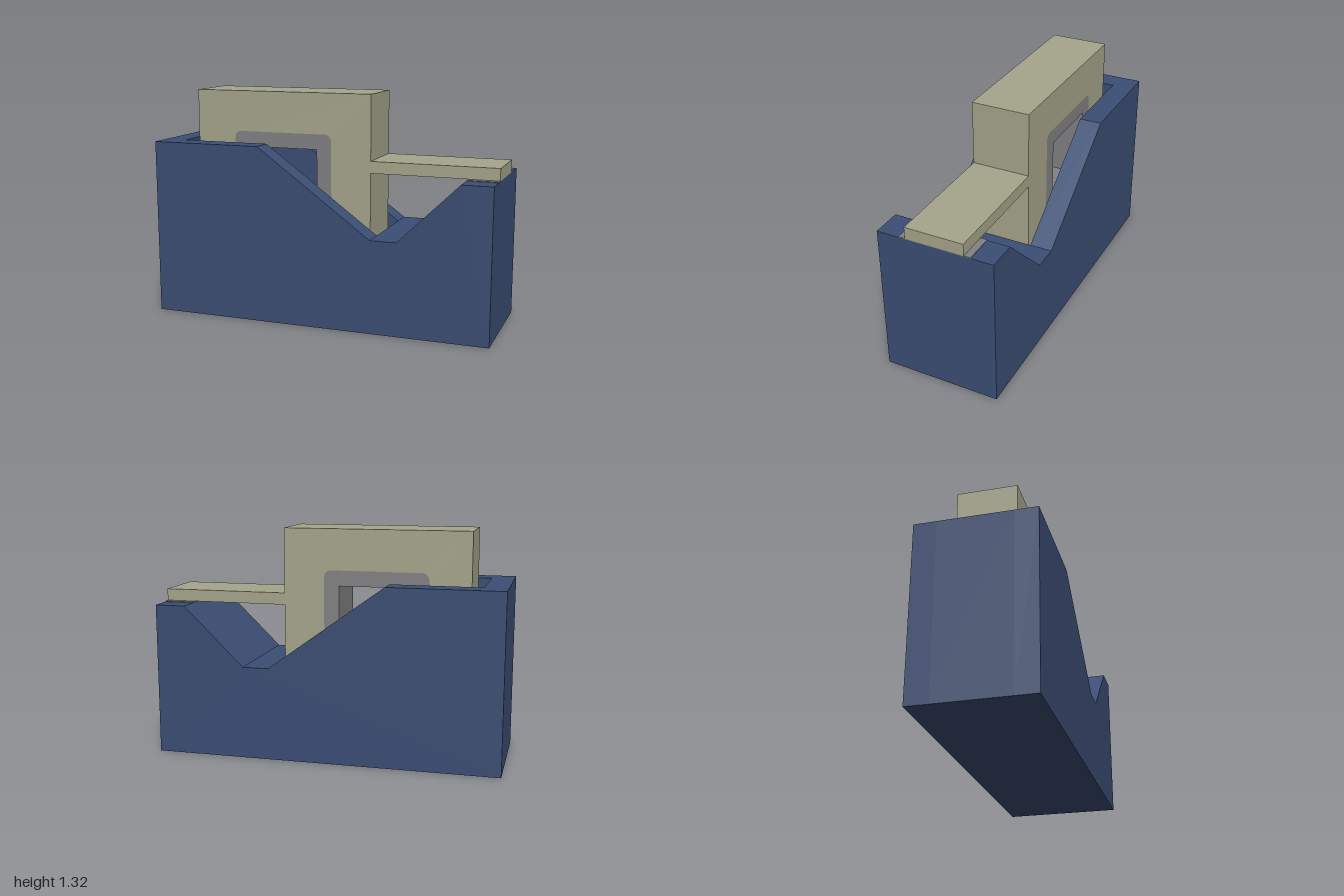
import * as THREE from 'three';

const paint = (name, color) => {
  const m = new THREE.MeshStandardMaterial({ color });
  m.name = name;
  return m;
};

// Square outline with rounded corners, centred on (cx, cy)
function roundedSquare(path, cx, cy, h, r) {
  path.moveTo(cx - h + r, cy - h);
  path.lineTo(cx + h - r, cy - h);
  path.absarc(cx + h - r, cy - h + r, r, -Math.PI / 2, 0);
  path.lineTo(cx + h, cy + h - r);
  path.absarc(cx + h - r, cy + h - r, r, 0, Math.PI / 2);
  path.lineTo(cx - h + r, cy + h);
  path.absarc(cx - h + r, cy + h - r, r, Math.PI / 2, Math.PI);
  path.lineTo(cx - h, cy - h + r);
  path.absarc(cx - h + r, cy - h + r, r, Math.PI, Math.PI * 1.5);
  return path;
}

const polygon = (pts) => new THREE.Shape(pts.map(([x, y]) => new THREE.Vector2(x, y)));
const square = (cx, cy, h) =>
  [[cx - h, cy - h], [cx + h, cy - h], [cx + h, cy + h], [cx - h, cy + h]];

export function createModel() {
  const group = new THREE.Group();
  const blue = paint('navy body', 0x3b4e74);
  const tan = paint('tan tape', 0xa6a68c);
  const grey = paint('grey core', 0x828284);

  const add = (name, geometry, material) => {
    const mesh = new THREE.Mesh(geometry, material);
    mesh.name = name;
    group.add(mesh);
    return mesh;
  };
  // Side profile extruded from z0 to z1
  const slab = (name, shape, z0, z1, material) => {
    const g = new THREE.ExtrudeGeometry(shape, { depth: z1 - z0, bevelEnabled: false, curveSegments: 6 });
    return add(name, g.translate(0, 0, z0), material);
  };
  const box = (name, x0, x1, y0, y1, halfZ, material) =>
    add(name, new THREE.BoxGeometry(x1 - x0, y1 - y0, halfZ * 2)
      .translate((x0 + x1) / 2, (y0 + y1) / 2, 0), material);

  // Body: two side walls around a core with an open slot
  const slotZ = 0.208, bodyZ = 0.337;
  const rightEnd = [[1, 0], [1, 0.875], [0.825, 0.875], [0.475, 0.535], [0.325, 0.535]];
  const wall = polygon([[-1, 0], ...rightEnd, [-0.345, 1.022], [-1, 1.022]]);
  const core = polygon([[-1, 0], ...rightEnd, [0.325, 0.2], [-0.868, 0.2], [-0.868, 1.022], [-1, 1.022]]);
  slab('leftWall', wall, slotZ, bodyZ, blue);
  slab('rightWall', wall, -bodyZ, -slotZ, blue);
  slab('slottedBase', core, -slotZ, slotZ, blue);

  // Square tape roll with its hub
  const cx = -0.262, cy = 0.785, tapeZ = 0.17;
  const roll = polygon(square(cx, cy, 0.535));
  roll.holes.push(roundedSquare(new THREE.Path(), cx, cy, 0.3, 0.04));
  slab('tapeRoll', roll, -tapeZ, tapeZ, tan);

  const hub = roundedSquare(new THREE.Shape(), cx, cy, 0.3, 0.04);
  hub.holes.push(new THREE.Path(square(cx, cy, 0.212).map(([x, y]) => new THREE.Vector2(x, y))));
  slab('rollHub', hub, -tapeZ, tapeZ, grey);

  // Free tape end reaching over the cutter plate
  box('tapeStrip', 0.273, 1, 0.879, 0.947, tapeZ, tan);
  box('cutterPlate', 0.825, 1, 0.873, 0.879, slotZ, grey);

  return group;
}
